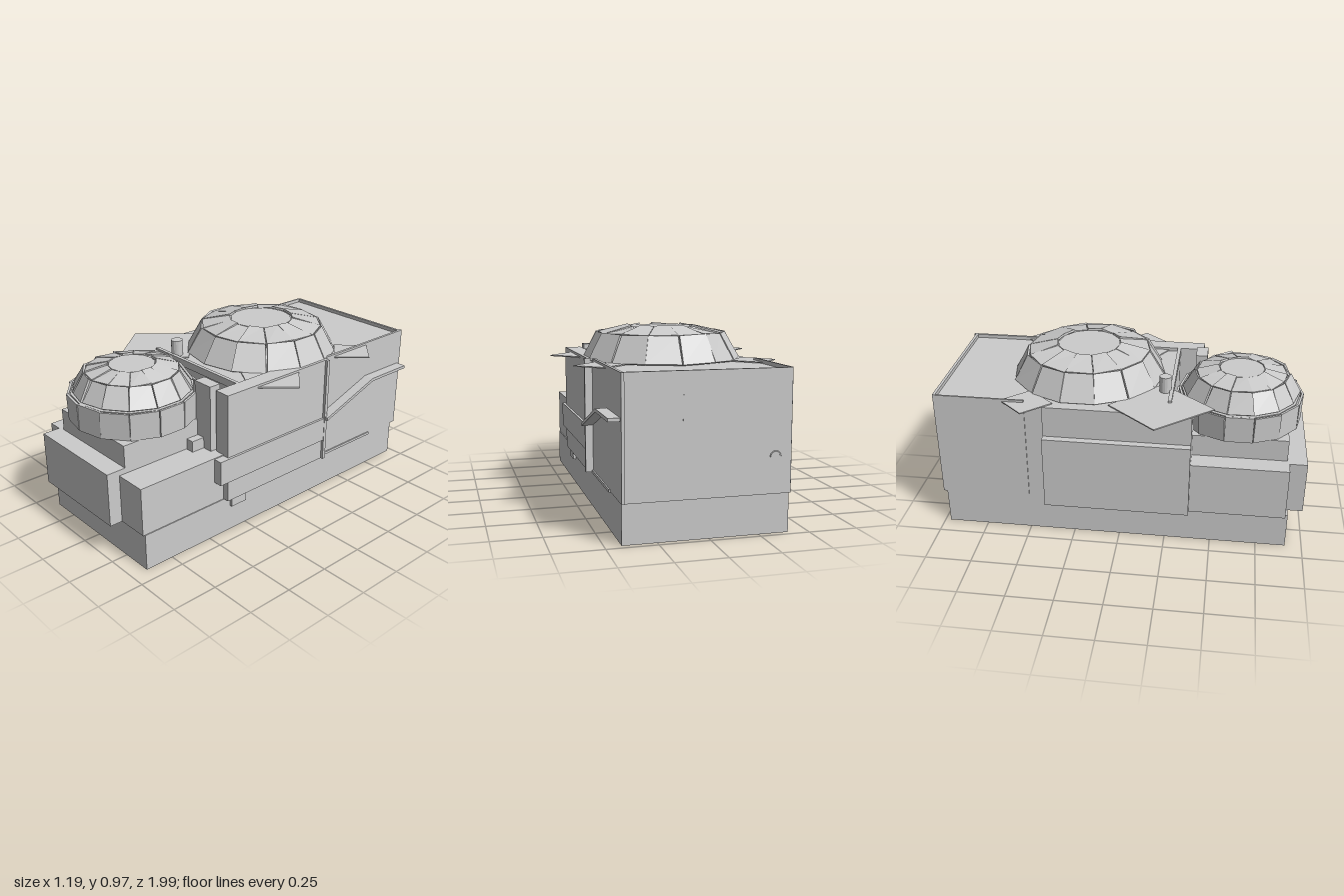
import * as THREE from 'three';

const grey = new THREE.MeshStandardMaterial({ color: 0xcccccc, flatShading: true, side: THREE.DoubleSide });

// Small seeded generator for the uneven roof tiles
function seeded(seed) {
  return () => {
    seed = (seed * 16807) % 2147483647;
    return seed / 2147483647;
  };
}

export function createModel() {
  const root = new THREE.Group();

  const add = (name, geometry, parent = root) => {
    const mesh = new THREE.Mesh(geometry, grey);
    mesh.name = name;
    parent.add(mesh);
    return mesh;
  };

  // Box given by its limits on each axis
  const block = (name, x0, x1, y0, y1, z0, z1) => {
    const mesh = add(name, new THREE.BoxGeometry(x1 - x0, y1 - y0, z1 - z0));
    mesh.position.set((x0 + x1) / 2, (y0 + y1) / 2, (z0 + z1) / 2);
    return mesh;
  };

  // Flat outline in x and z, given a thickness upward from y
  const slab = (name, points, y, thickness, holePoints) => {
    const toVec = ([x, z]) => new THREE.Vector2(x, -z);
    const shape = new THREE.Shape(points.map(toVec));
    if (holePoints) shape.holes.push(new THREE.Path(holePoints.map(toVec)));
    const geometry = new THREE.ExtrudeGeometry(shape, { depth: thickness, bevelEnabled: false });
    geometry.rotateX(-Math.PI / 2);
    add(name, geometry).position.y = y;
  };

  // Foundation with a rectangular pit open to below
  slab('foundation',
    [[-0.4, -0.97], [0.42, -0.97], [0.42, 0.91], [-0.4, 0.91]], 0, 0.2,
    [[-0.18, -0.9], [0.18, -0.9], [0.18, 0.11], [-0.18, 0.11]]);
  block('pitBeam', -0.18, 0.18, 0.08, 0.13, -0.45, -0.4);
  block('pitRail', -0.02, 0.02, 0.12, 0.18, -0.88, -0.4);
  const pitDrum = add('pitDrum', new THREE.CylinderGeometry(0.07, 0.07, 0.14, 16));
  pitDrum.position.set(0.04, 0.13, -0.12);

  // Main hall and its raised rims
  block('hall', -0.4, 0.42, 0.2, 0.78, -0.98, 0.26);
  block('backRim', -0.4, 0.42, 0.2, 0.8, -0.99, -0.975);
  block('leftRim', 0.41, 0.425, 0.2, 0.8, -1, -0.31);
  block('rightRim', -0.405, -0.395, 0.2, 0.8, -0.98, -0.5);
  block('frontParapet', -0.31, 0.39, 0.76, 0.8, 0.245, 0.265);
  block('doorSlot', 0.13, 0.135, 0.57, 0.69, -0.994, -0.985);
  const knob = add('doorHandle', new THREE.TorusGeometry(0.025, 0.004, 5, 12, Math.PI));
  knob.position.set(-0.32, 0.38, -0.99);

  // Wing on the right side
  block('rightWing', -0.43, -0.3, 0.2, 0.78, -0.4, 0.38);
  block('rightSideBox', -0.47, -0.4, 0.2, 0.61, -0.4, 0.38);

  // Wing on the left side with ledge, post and ramp
  block('leftWing', 0.36, 0.45, 0.2, 0.8, -0.31, 0.4);
  block('leftLedge', 0.4, 0.463, 0.32, 0.455, -0.31, 0.46);
  block('leftPost', 0.41, 0.465, 0.2, 0.8, -0.325, -0.305);
  block('leftHatch', 0.41, 0.435, 0.145, 0.205, 0.26, 0.36);
  block('leftTrim', 0.41, 0.432, 0.195, 0.21, -0.75, 0.26);
  const rampShape = new THREE.Shape([
    [0.31, 0.445], [0.69, 0.578], [0.98, 0.578], [0.98, 0.595], [0.685, 0.595], [0.31, 0.462],
  ].map(([a, b]) => new THREE.Vector2(a, b)));
  const ramp = add('ramp', new THREE.ExtrudeGeometry(rampShape, { depth: 0.065, bevelEnabled: false }));
  ramp.rotation.y = Math.PI / 2;
  ramp.position.x = 0.418;

  // Stepped blocks at the front
  block('frontPedestal', -0.32, 0.24, 0.2, 0.61, 0.2, 0.885);
  block('frontRightBlock', -0.43, -0.2, 0.2, 0.49, 0.38, 0.895);
  block('frontPorch', -0.35, 0.24, 0.2, 0.49, 0.6, 0.99);
  block('frontLeftBlock', 0.2, 0.415, 0.2, 0.46, 0.2, 0.92);
  block('tallPanel', 0.225, 0.345, 0.44, 0.82, 0.36, 0.425);
  block('smallStep', 0.245, 0.29, 0.44, 0.52, 0.42, 0.5);

  // Thin pointed plates lying on the roof
  const plates = [
    [[-0.6, 0.2], [-0.35, 0.49], [-0.1, 0.2], [-0.37, -0.06]],
    [[-0.52, -0.49], [-0.39, -0.35], [-0.26, -0.49], [-0.39, -0.63]],
    [[0.56, -0.54], [0.43, -0.67], [0.3, -0.54], [0.43, -0.4]],
    [[0.59, 0.04], [0.45, -0.1], [0.2, 0.1], [0.42, 0.23]],
  ];
  for (const points of plates) slab('roofPlate', points, 0.782, 0.006);

  // Chimney
  const chimney = add('chimney', new THREE.CylinderGeometry(0.032, 0.032, 0.12, 16));
  chimney.position.set(-0.175, 0.815, 0.22);

  // Ring of separate tapered tiles between two radii and heights
  const tileRing = (parent, name, r0, y0, r1, y1, count, seed, wobble) => {
    const random = seeded(seed);
    const half = Math.tan(Math.PI / count);
    const slope = Math.hypot(r1 - r0, y1 - y0);
    for (let i = 0; i < count; i++) {
      const geometry = new THREE.BoxGeometry(1, 1, 1);
      const pos = geometry.attributes.position;
      const lift = random() * wobble;
      const twist = (random() - 0.5) * wobble * 2;
      for (let v = 0; v < pos.count; v++) {
        const t = pos.getY(v) + 0.5;
        const r = r0 + (r1 - r0) * t;
        const side = pos.getX(v) * 2;
        const out = pos.getZ(v) * 0.012 + lift * t + twist * side * 0.5;
        pos.setXYZ(v,
          side * r * half,
          y0 + (y1 - y0) * t + out * (r0 - r1) / slope,
          r + out * (y1 - y0) / slope);
      }
      geometry.computeVertexNormals();
      add(name, geometry, parent).rotation.y = ((i + 0.5) / count) * Math.PI * 2 + twist;
    }
  };

  // Tiled dome: solid core, lower and upper tile rings, flat cap
  const dome = (name, x, z, [r0, y0], [r1, y1], [r2, y2], seed) => {
    const group = new THREE.Group();
    group.name = name;
    group.position.set(x, 0, z);
    root.add(group);
    const profile = [[0, y0], [r0 - 0.01, y0], [r1 - 0.01, y1 - 0.008], [r2, y2 - 0.003], [0, y2 - 0.003]];
    const core = profile.map(([r, y]) => new THREE.Vector2(r, y));
    add('domeCore', new THREE.LatheGeometry(core, 14), group);
    tileRing(group, 'lowerTile', r0, y0, r1, y1, 14, seed, 0.016);
    tileRing(group, 'upperTile', r1, y1, r2, y2 - 0.006, 14, seed + 7, 0.012);
    const cap = add('domeCap', new THREE.CylinderGeometry(r2, r2, 0.006, 14), group);
    cap.position.y = y2 - 0.003;
    return group;
  };

  dome('largeDome', 0.03, -0.22, [0.405, 0.785], [0.325, 0.92], [0.17, 0.955], 11);
  const small = dome('smallDome', -0.04, 0.62, [0.3, 0.757], [0.235, 0.855], [0.12, 0.885], 29);

  // Panelled drum under the small dome
  const drum = add('drumCore', new THREE.CylinderGeometry(0.32, 0.32, 0.14, 14), small);
  drum.position.y = 0.683;
  tileRing(small, 'drumPanel', 0.322, 0.612, 0.322, 0.755, 14, 5, 0.008);

  return root;
}
